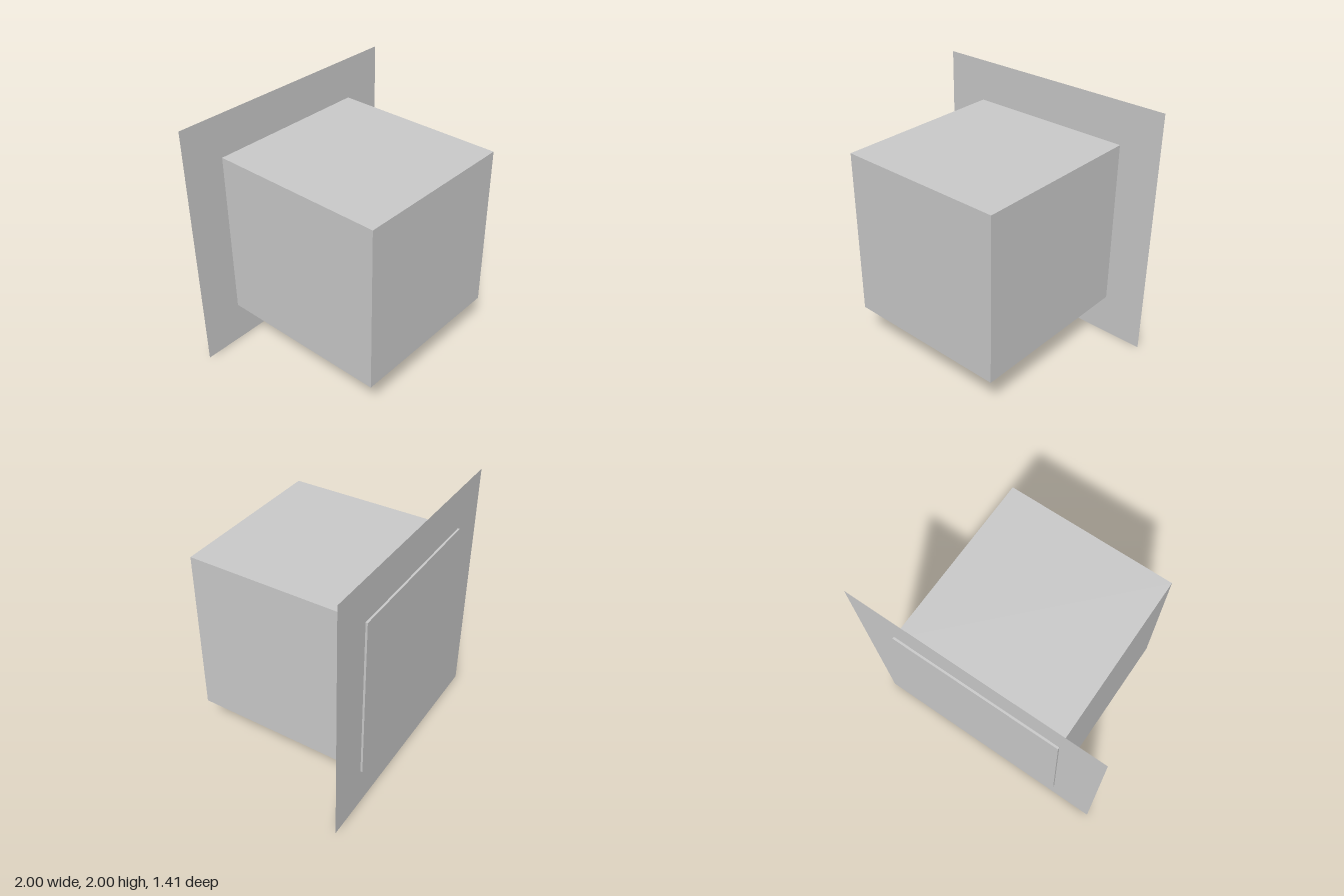
import * as THREE from 'three';

export function createModel() {
  const group = new THREE.Group();
  const add = (name, geometry, z, side = THREE.FrontSide) => {
    const material = new THREE.MeshStandardMaterial({ color: 0xcccccc, flatShading: true, side });
    const mesh = new THREE.Mesh(geometry, material);
    mesh.name = name;
    mesh.position.set(0, 1, z);
    group.add(mesh);
  };

  // Main block
  add('block', new THREE.BoxGeometry(1.333, 1.333, 1.406), 0);

  // Thin square sheet crossing the block just ahead of its back face
  add('backSheet', new THREE.PlaneGeometry(2, 2), -0.687, THREE.DoubleSide);

  return group;
}
